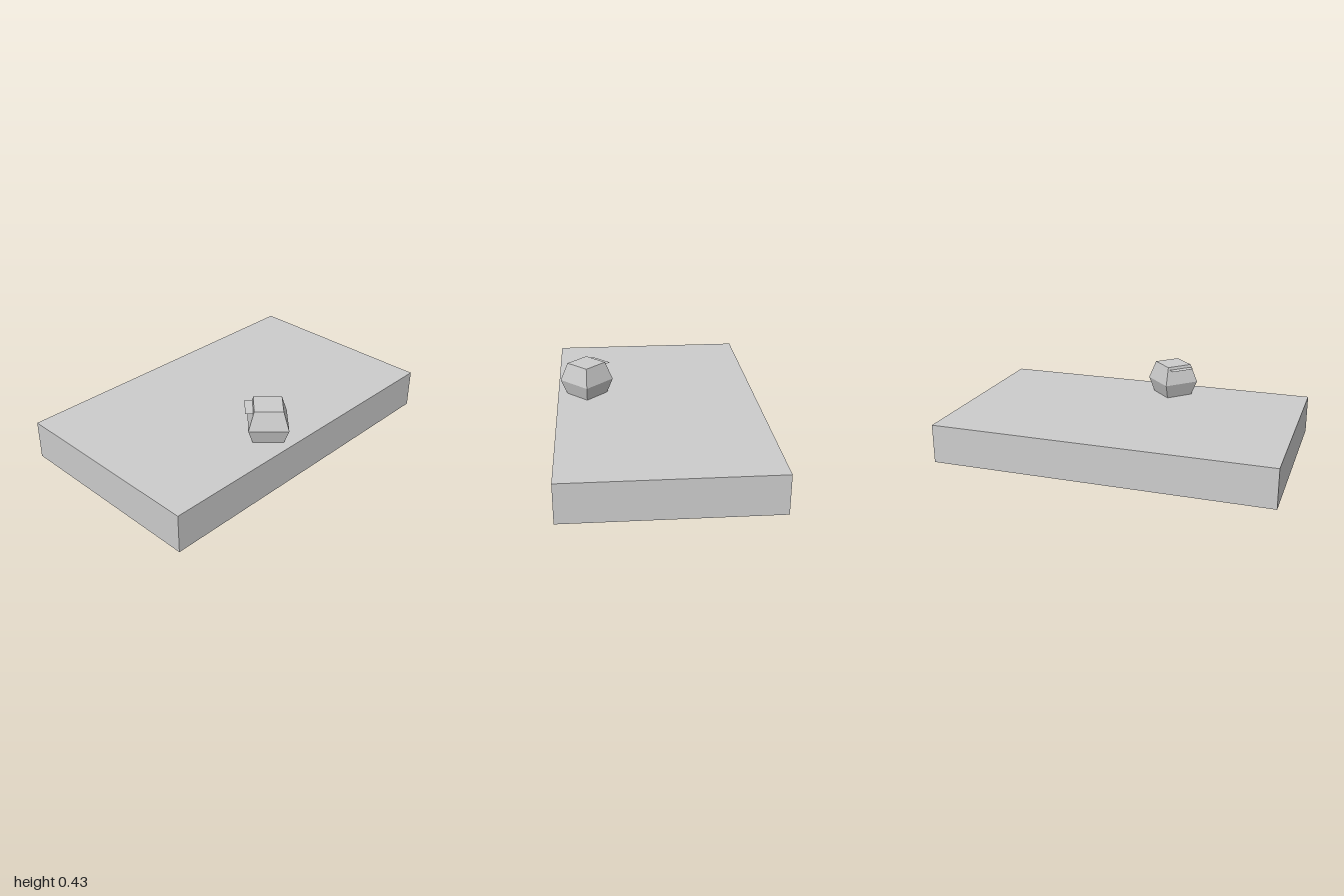
import * as THREE from 'three';

export function createModel() {
  const model = new THREE.Group();
  const grey = new THREE.MeshStandardMaterial({ color: 0xcccccc, flatShading: true, side: THREE.DoubleSide });
  grey.name = 'light grey';

  const add = (parent, name, geometry, x, y, z) => {
    const mesh = new THREE.Mesh(geometry, grey);
    mesh.name = name;
    mesh.position.set(x, y, z);
    parent.add(mesh);
    return mesh;
  };

  // Base slab
  add(model, 'slab', new THREE.BoxGeometry(1.2, 0.23, 2), 0, 0.115, 0);

  // Four-sided faceted knob, sunk slightly into the slab
  const knob = new THREE.Group();
  knob.name = 'knob';
  knob.position.set(0.423, 0.318, 0.157);
  model.add(knob);
  const profile = [[0, -0.109], [0.114, -0.109], [0.159, 0], [0.114, 0.109], [0, 0.109]]
    .map(([r, y]) => new THREE.Vector2(r, y));
  add(knob, 'knobBody', new THREE.LatheGeometry(profile, 4), 0, 0, 0);

  // Thin horizontal tab standing out of one upper facet
  const tabTurn = new THREE.Group();
  tabTurn.name = 'tab';
  tabTurn.rotation.y = -Math.PI / 4;
  knob.add(tabTurn);
  add(tabTurn, 'tabPlate', new THREE.PlaneGeometry(0.15, 0.06).rotateX(-Math.PI / 2), 0, 0.092, 0.1);

  return model;
}
